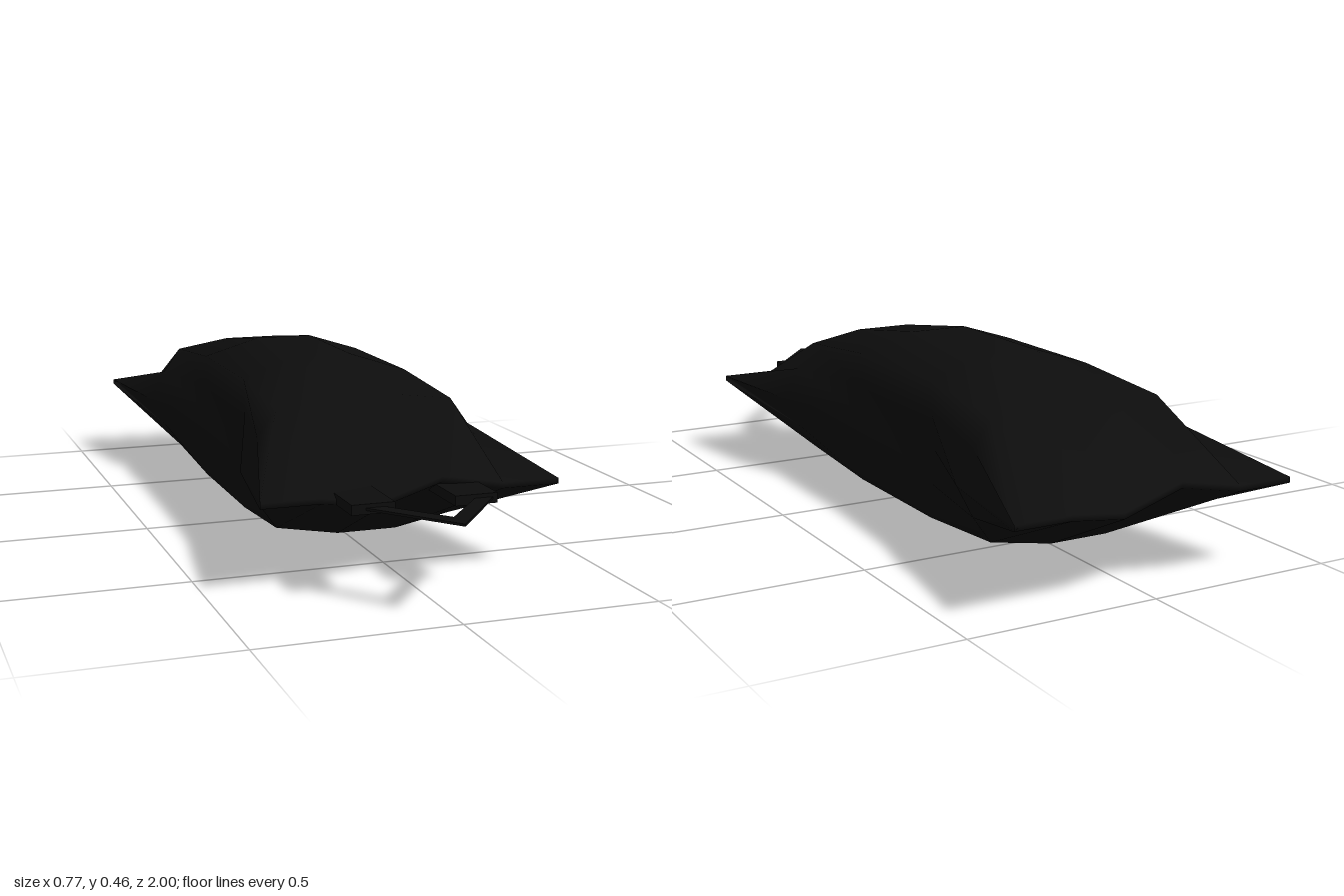
import * as THREE from 'three';

const MID = 0.23; // height of the seam

export function createModel() {
  const model = new THREE.Group();
  const black = new THREE.MeshStandardMaterial({ color: 0x0d0d0d, side: THREE.DoubleSide });
  black.name = 'black fabric';

  // Padded bag: cross-section rings from front to back.
  // seam = half width at the seam; outer and inner = [x, half height, z] of the cushion rows
  // wave = how far the pinched end ripples up and down
  const end = (z, inset, wave) => ({
    seam: [0.375, z], wave,
    rows: [[0.385, 0.007, z], [0.235, 0.007, z], [0.08, 0.007, z - inset]],
  });
  const shoulder = (s) => ({
    seam: [0.335, -0.15 + s * 0.51], wave: 0,
    rows: [[0.29, 0.085, -0.15 + s * 0.51], [0.24, 0.155, -0.15 + s * 0.51], [0.08, 0.178, -0.15 + s * 0.53]],
  });
  const waist = (s) => ({
    seam: [0.225, -0.15 + s * 0.2], wave: 0,
    rows: [[0.232, 0.09, -0.15 + s * 0.2], [0.235, 0.18, -0.15 + s * 0.2], [0.08, 0.23, -0.15 + s * 0.18]],
  });
  const rings = [end(0.7, 0.015, 0.025), shoulder(1), waist(1), waist(-1), shoulder(-1), end(-1, -0.02, -0.025)];

  const positions = [];
  const index = [];
  const N = 14;
  for (const { seam, rows, wave } of rings) {
    const half = (dir, up) => {
      // three rows out to the middle, then three mirrored ones
      const line = [...rows.map((r) => [r, 1]), ...[...rows].reverse().map((r) => [r, -1])];
      for (const [[x, h, z], side] of line) {
        const ripple = x < 0.1 ? wave * side * dir : 0;
        positions.push(x * side * dir, MID + up * h + ripple, z);
      }
    };
    positions.push(seam[0], MID, seam[1]);
    half(1, 1);
    positions.push(-seam[0], MID, seam[1]);
    half(-1, -1);
  }
  for (let r = 0; r < rings.length - 1; r++) {
    for (let i = 0; i < N; i++) {
      const a = r * N + i, b = r * N + (i + 1) % N, c = a + N, d = b + N;
      index.push(a, c, b, b, c, d);
    }
  }
  // Narrow closing strips at both ends
  for (const [base, flip] of [[0, false], [(rings.length - 1) * N, true]]) {
    for (let i = 0; i < 7; i++) {
      const a = base + i, b = base + i + 1, c = base + (N - i) % N, d = base + N - i - 1;
      if (flip) index.push(a, c, b, b, c, d);
      else index.push(a, b, c, b, d, c);
    }
  }
  const bagGeometry = new THREE.BufferGeometry();
  bagGeometry.setAttribute('position', new THREE.Float32BufferAttribute(positions, 3));
  bagGeometry.setIndex(index);
  bagGeometry.computeVertexNormals();
  const bag = new THREE.Mesh(bagGeometry, black);
  bag.name = 'paddedBag';
  model.add(bag);

  // Two strap tabs sewn into the front seam
  for (const [name, x] of [['leftTab', 0.118], ['rightTab', -0.142]]) {
    const tab = new THREE.Mesh(new THREE.BoxGeometry(0.108, 0.025, 0.17), black);
    tab.position.set(x, MID, 0.715);
    tab.name = name;
    model.add(tab);
  }

  // Thin V-shaped loop joining the tabs
  const v = new THREE.Shape([
    [-0.172, 0.785], [0, 0.998], [0.172, 0.785], [0.125, 0.785], [0, 0.935], [-0.125, 0.785],
  ].map(([x, z]) => new THREE.Vector2(x, z)));
  const loopGeometry = new THREE.ExtrudeGeometry(v, { depth: 0.006, bevelEnabled: false });
  loopGeometry.rotateX(Math.PI / 2);
  const loop = new THREE.Mesh(loopGeometry, black);
  loop.position.y = MID + 0.003;
  loop.name = 'hangingLoop';
  model.add(loop);

  return model;
}
